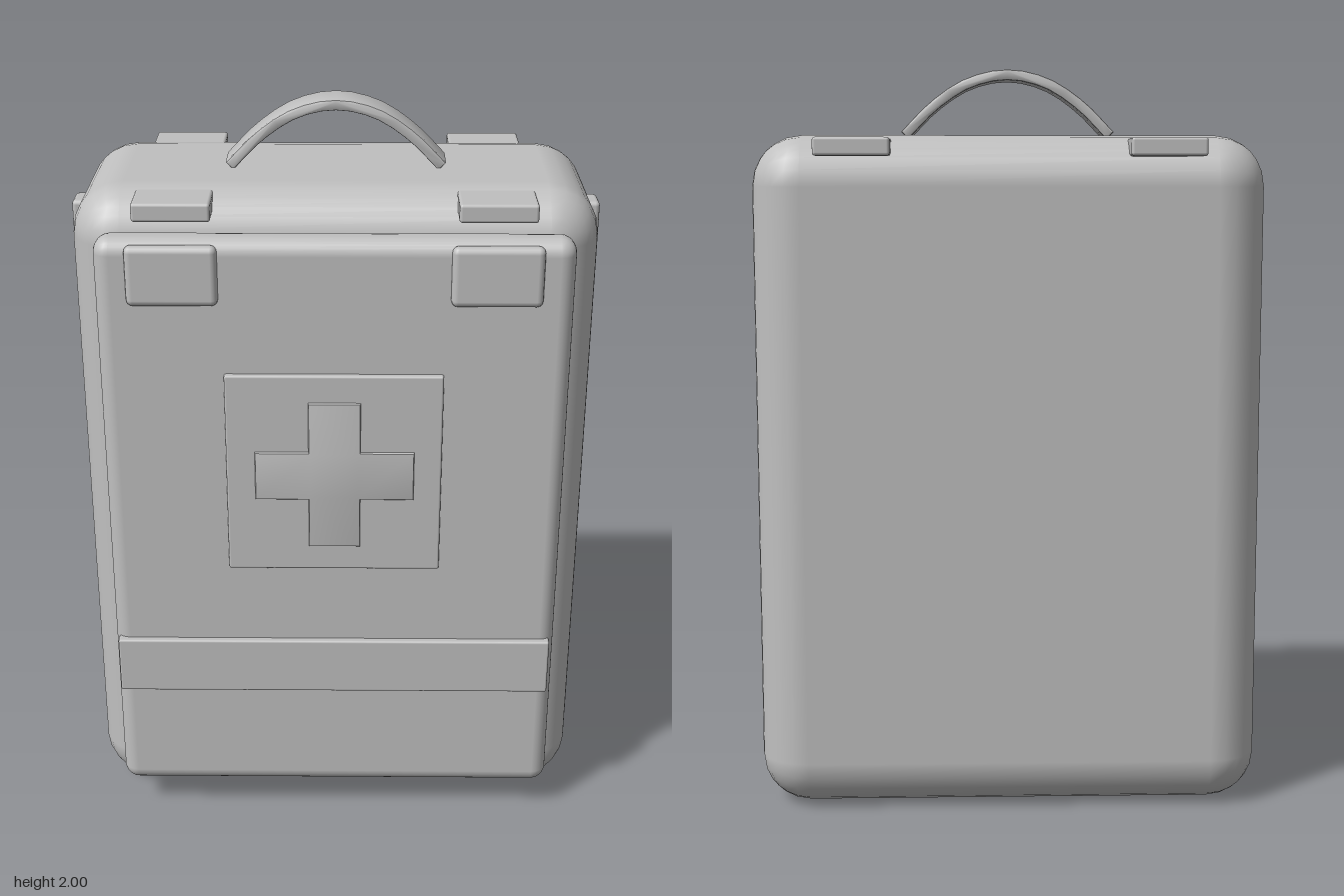
import * as THREE from 'three';
import { RoundedBoxGeometry } from 'three/addons/geometries/RoundedBoxGeometry.js';
import { toCreasedNormals } from 'three/addons/utils/BufferGeometryUtils.js';

export function createModel() {
  const group = new THREE.Group();
  group.name = 'firstAidBag';
  const grey = new THREE.MeshStandardMaterial({ color: 0xc0c0c0 });
  grey.name = 'plainGrey';

  const add = (name, geometry) => {
    const mesh = new THREE.Mesh(geometry, grey);
    mesh.name = name;
    group.add(mesh);
    return mesh;
  };
  // rounded box given by its limits on each axis
  const box = (name, [x0, x1], [y0, y1], [z0, z1], radius, segments = 2) => {
    const mesh = add(name, new RoundedBoxGeometry(x1 - x0, y1 - y0, z1 - z0, segments, radius));
    mesh.position.set((x0 + x1) / 2, (y0 + y1) / 2, (z0 + z1) / 2);
    return mesh;
  };

  // main bag and front pocket
  box('body', [-0.68, 0.68], [0.005, 1.82], [-0.353, 0.27], 0.135, 3);
  box('frontPocket', [-0.605, 0.605], [0.1, 1.732], [0.255, 0.355], 0.042, 3);

  // band and badge on the pocket
  box('frontBand', [-0.595, 0.59], [0.425, 0.587], [0.34, 0.373], 0.006);
  box('badgePatch', [-0.283, 0.28], [0.815, 1.377], [0.34, 0.371], 0.006);

  // cross on the badge
  const a = 0.062, b = 0.202;
  const cross = new THREE.Shape([
    [-a, -b], [a, -b], [a, -a], [b, -a], [b, a], [a, a],
    [a, b], [-a, b], [-a, a], [-b, a], [-b, -a], [-a, -a],
  ].map(([x, y]) => new THREE.Vector2(x, y)));
  const crossGeometry = new THREE.ExtrudeGeometry(cross, {
    depth: 0.006, bevelEnabled: true, bevelThickness: 0.004, bevelSize: 0.006, bevelSegments: 2,
  });
  add('badgeCross', toCreasedNormals(crossGeometry, 0.7)).position.set(0, 1.095, 0.369);

  // buckles: pocket plates, and tabs at the front and back of the top; zips on the sides
  for (const side of [-1, 1]) {
    const label = side > 0 ? 'left' : 'right';
    const span = (u, v) => (side > 0 ? [u, v] : [-v, -u]);
    box(label + 'PocketBuckle', span(0.292, 0.523), [1.563, 1.72], [0.335, 0.374], 0.017);
    box(label + 'FrontTab', span(0.31, 0.508), [1.763, 1.811], [0.12, 0.307], 0.008);
    box(label + 'BackTab', span(0.31, 0.508), [1.763, 1.811], [-0.382, -0.2], 0.008);
    box(label + 'Zip', span(0.64, 0.69), [0.16, 1.75], [0, 0.083], 0.012);
  }

  // arched carrying handle: a flat band following a curve
  const arch = new THREE.CatmullRomCurve3([
    [-0.276, 1.827], [-0.2, 1.903], [-0.105, 1.964], [0, 1.986],
    [0.105, 1.964], [0.2, 1.903], [0.276, 1.827],
  ].map(([x, y]) => new THREE.Vector3(x, y, 0)));
  const outer = [], inner = [];
  for (let i = 0; i <= 16; i++) {
    const p = arch.getPoint(i / 16), t = arch.getTangent(i / 16);
    outer.push(new THREE.Vector2(p.x - t.y * 0.009, p.y + t.x * 0.009));
    inner.unshift(new THREE.Vector2(p.x + t.y * 0.009, p.y - t.x * 0.009));
  }
  const handle = new THREE.ExtrudeGeometry(new THREE.Shape([...outer, ...inner]), {
    depth: 0.098, bevelEnabled: true, bevelThickness: 0.006, bevelSize: 0.005, bevelSegments: 2,
  });
  add('handle', toCreasedNormals(handle, 0.6)).position.z = -0.089;

  return group;
}
